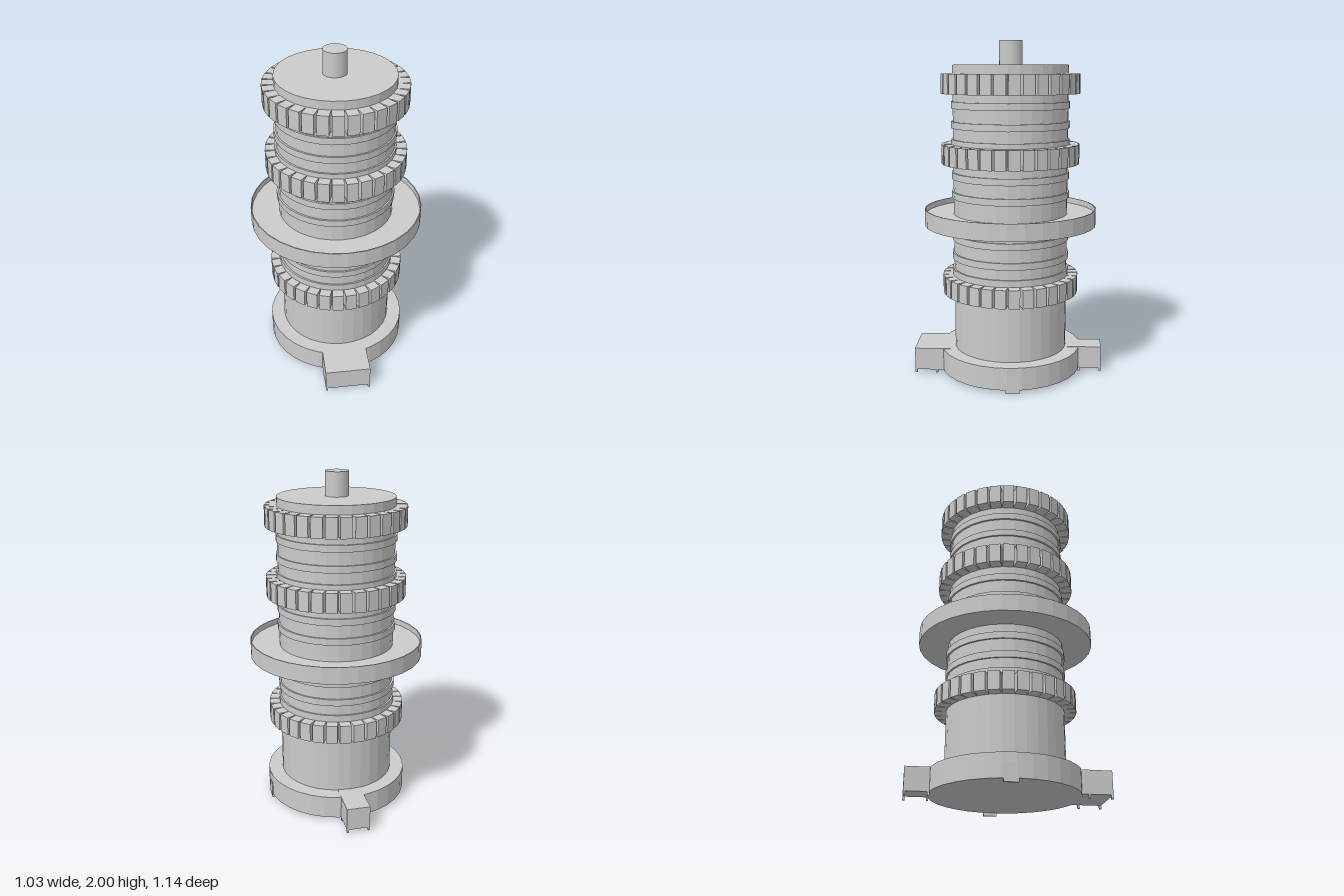
import * as THREE from 'three';

const SIDES = 32;
const CZ = -0.01; // axis of the tower sits slightly behind centre

export function createModel() {
  const model = new THREE.Group();
  const material = new THREE.MeshStandardMaterial({ color: 0xcccccc, flatShading: true });

  function add(name, geometry, x = 0, y = 0, z = 0, parent = model) {
    const mesh = new THREE.Mesh(geometry, material);
    mesh.name = name;
    mesh.position.set(x, y, z);
    parent.add(mesh);
    return mesh;
  }
  function drum(name, radius, bottom, top, x = -0.002, z = CZ) {
    return add(name, new THREE.CylinderGeometry(radius, radius, top - bottom, SIDES), x, (bottom + top) / 2, z);
  }
  function block(name, x0, x1, y0, y1, z0, z1) {
    return add(name, new THREE.BoxGeometry(x1 - x0, y1 - y0, z1 - z0),
      (x0 + x1) / 2, (y0 + y1) / 2, (z0 + z1) / 2);
  }

  // Base disc with a wide front lug and a narrow back lug
  drum('baseDisc', 0.427, 0.02, 0.155, 0, CZ);
  block('frontLug', -0.137, 0.137, 0.021, 0.156, 0.3, 0.568);
  block('backLug', -0.069, 0.069, 0.021, 0.157, -0.57, -0.3);

  // Small feet under the lugs and at the sides of the base
  for (const s of [-1, 1]) {
    for (const [x, z] of [[0.131, 0.562], [0.131, 0.435], [0.063, -0.564], [0.063, -0.435]]) {
      block('foot', s * x - 0.006, s * x + 0.006, 0, 0.03, z - 0.006, z + 0.006);
    }
    block('sideFoot', s * 0.42 - 0.006, s * 0.42 + 0.006, 0, 0.1, -0.08, 0.0);
  }

  // Main column and top post
  drum('column', 0.342, 0.15, 1.86);
  drum('topPost', 0.068, 1.85, 2.0, -0.005, -0.012);

  // Thin raised bands around the column
  for (const top of [0.65, 0.75, 0.865, 1.12, 1.235, 1.43, 1.535, 1.65]) {
    drum('band', 0.352, top - 0.04, top, -0.003);
  }

  // Shallow dish with a thin raised rim
  const dishProfile = [[0.3, 0.915], [0.515, 0.915], [0.515, 1.015], [0.509, 1.015], [0.509, 0.98], [0.3, 0.98]]
    .map(([r, y]) => new THREE.Vector2(r, y));
  add('dish', new THREE.LatheGeometry(dishProfile, SIDES), 0, 0, CZ);

  // Three rings of square teeth
  for (const [bottom, top] of [[0.5, 0.61], [1.285, 1.4], [1.695, 1.81]]) {
    const ring = new THREE.Group();
    ring.name = 'toothRing';
    ring.position.set(0, (bottom + top) / 2, CZ);
    const tooth = new THREE.BoxGeometry(0.066, top - bottom, 0.08);
    for (let i = 0; i < SIDES; i++) {
      const a = (i + 0.5) * Math.PI * 2 / SIDES;
      add('tooth', tooth, Math.sin(a) * 0.369, 0, Math.cos(a) * 0.369, ring).rotation.y = a;
    }
    model.add(ring);
  }

  return model;
}
